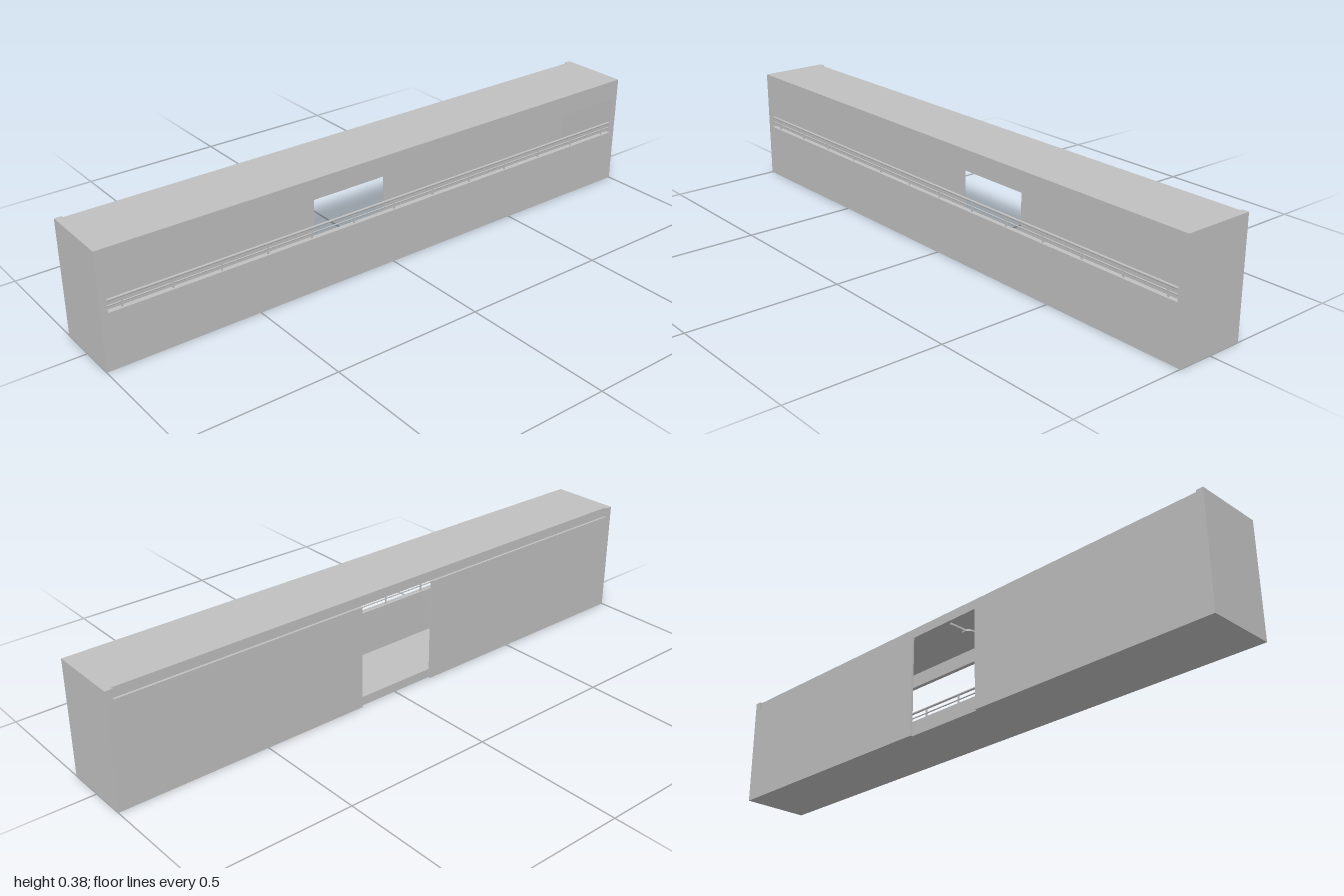
import * as THREE from 'three';

export function createModel() {
  const model = new THREE.Group();
  model.name = 'kioskHall';
  const grey = new THREE.MeshStandardMaterial({ color: 0xc0c0c0 });
  grey.name = 'plainGrey';

  const add = (name, geometry, x, y, z) => {
    const mesh = new THREE.Mesh(geometry, grey);
    mesh.name = name;
    mesh.position.set(x, y, z);
    model.add(mesh);
    return mesh;
  };
  // Box given by its lower and upper limits on each axis
  const block = (name, x0, x1, y0, y1, z0, z1) =>
    add(name, new THREE.BoxGeometry(x1 - x0, y1 - y0, z1 - z0),
      (x0 + x1) / 2, (y0 + y1) / 2, (z0 + z1) / 2);

  const H = 0.377, Z = 0.117, IN = 0.977, BACK = -0.109, FRONT = 0.102;

  // Shell: end walls, floor and roof
  block('endWallLeft', IN, 1, 0, H, -Z, FRONT);
  block('endWallRight', -1, -IN, 0, H, -Z, FRONT);
  block('floor', -IN, IN, 0, 0.03, BACK, FRONT);
  block('roof', -IN, IN, 0.358, H, BACK, FRONT);

  // Front wall with the long serving window
  const wall = new THREE.Shape([[-1, 0], [1, 0], [1, H], [-1, H]].map(p => new THREE.Vector2(...p)));
  wall.holes.push(new THREE.Path(
    [[-IN, 0.183], [-IN, 0.31], [IN, 0.31], [IN, 0.183]].map(p => new THREE.Vector2(...p))));
  add('frontWall', new THREE.ExtrudeGeometry(wall, { depth: Z - FRONT, bevelEnabled: false }), 0, 0, FRONT);

  // Back wall panels beside the doorway, under a recessed top strip
  block('backPanelLeft', 0.14, IN, 0, 0.345, -Z, BACK);
  block('backPanelRight', -IN, -0.145, 0, 0.345, -Z, BACK);
  block('backTopStrip', -IN, IN, 0.345, 0.358, BACK, BACK + 0.008);

  // Window railing: ledge rail, two upper rails and evenly spaced posts
  block('ledgeRail', -IN, IN, 0.177, 0.184, Z - 0.004, Z + 0.003);
  const rail = (name, y, r) => {
    const mesh = add(name, new THREE.CylinderGeometry(r, r, IN * 2, 8), 0, y, 0.111);
    mesh.rotation.z = Math.PI / 2;
  };
  rail('handRail', 0.218, 0.004);
  rail('middleRail', 0.2, 0.0022);
  for (let i = -6; i <= 6; i++) {
    block('railPost', i * 0.156 + 0.002, i * 0.156 + 0.007, 0.183, 0.218, 0.109, 0.113);
  }

  // Ceiling lamp with its arm
  add('ceilingLamp', new THREE.CylinderGeometry(0.022, 0.022, 0.006, 24), 0, 0.35, 0);
  add('lampStem', new THREE.CylinderGeometry(0.005, 0.005, 0.01, 12), 0, 0.354, 0);
  block('lampArm', -0.003, 0.003, 0.351, 0.358, -0.08, -0.015);

  return model;
}
